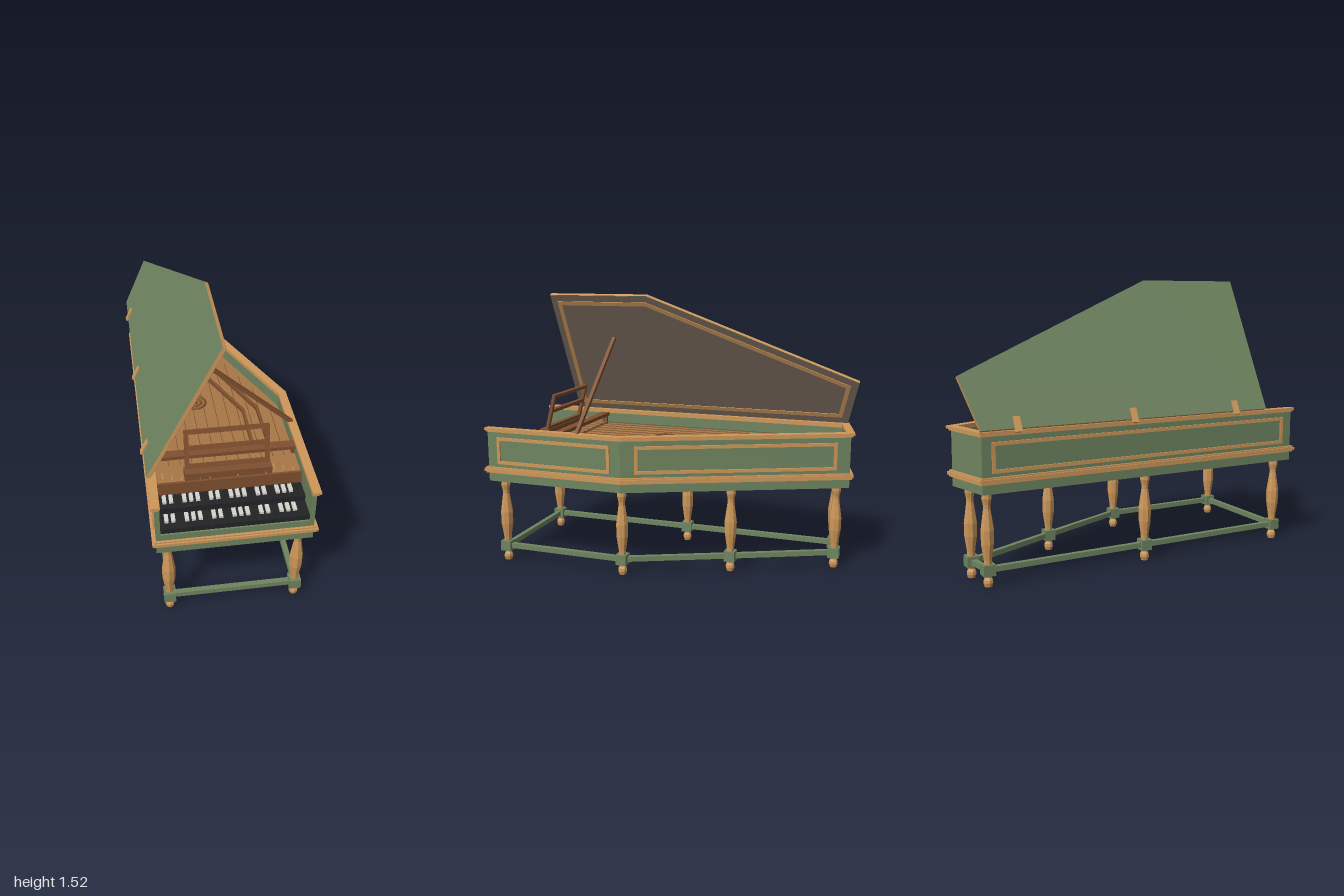
import * as THREE from 'three';

const mat = (name, color) => {
  const m = new THREE.MeshStandardMaterial({ color });
  m.name = name;
  return m;
};

export function createModel() {
  const green = mat('green paint', 0x6f8560);
  const wood = mat('light wood', 0xcf985a);
  const board = mat('soundboard wood', 0xa97848);
  const brown = mat('dark wood', 0x80502f);
  const black = mat('black keys', 0x222326);
  const ivory = mat('pale sharps', 0xd6d4cd);
  const taupe = mat('lid lining', 0x7d6d60);

  const model = new THREE.Group();
  model.name = 'harpsichord';

  const add = (name, geo, material, parent = model) => {
    const m = new THREE.Mesh(geo, material);
    m.name = name;
    parent.add(m);
    return m;
  };
  // box given by its extents
  const box = (name, material, x0, x1, y0, y1, z0, z1, parent = model) => {
    const m = add(name, new THREE.BoxGeometry(x1 - x0, y1 - y0, z1 - z0), material, parent);
    m.position.set((x0 + x1) / 2, (y0 + y1) / 2, (z0 + z1) / 2);
    return m;
  };
  // square bar between two points
  const beam = (name, material, a, b, w, h) => {
    const p = new THREE.Vector3(...a), q = new THREE.Vector3(...b);
    const m = add(name, new THREE.BoxGeometry(w, h, p.distanceTo(q)), material);
    m.position.copy(p).lerp(q, 0.5);
    m.lookAt(q);
    return m;
  };
  // horizontal slab from a plan of [x, z] points
  const plan = pts => pts.map(([x, z]) => new THREE.Vector2(x, -z));
  const slab = (pts, y0, y1, hole) => {
    const shape = new THREE.Shape(plan(pts));
    if (hole) shape.holes.push(new THREE.Path(plan(hole)));
    return new THREE.ExtrudeGeometry(shape, { depth: y1 - y0, bevelEnabled: false })
      .rotateX(-Math.PI / 2).translate(0, y0, 0);
  };
  // grow (or shrink) a convex plan
  const offset = (pts, d) => pts.map((p, i) => {
    const n = pts.length, a = pts[(i + n - 1) % n], b = pts[(i + 1) % n];
    const normal = (s, e) => {
      const l = Math.hypot(e[0] - s[0], e[1] - s[1]);
      return [-(e[1] - s[1]) / l, (e[0] - s[0]) / l];
    };
    const u = normal(a, p), v = normal(p, b);
    const k = d / (1 + u[0] * v[0] + u[1] * v[1]);
    return [p[0] + k * (u[0] + v[0]), p[1] + k * (u[1] + v[1])];
  });
  const frontAt = (pts, z) => pts.map((p, i) => (i < 2 ? [p[0], z] : p));

  // Case: solid base, walls open at the front, mouldings
  const outline = [[-0.39, 0.98], [0.39, 0.98], [0.39, 0.175], [-0.12, -0.975], [-0.39, -0.91]];
  const openRing = (outer, inner, z) => {
    const o = frontAt(offset(outline, outer), z), i = frontAt(offset(outline, inner), z);
    return [o[1], o[2], o[3], o[4], o[0], i[0], i[4], i[3], i[2], i[1]];
  };
  add('caseBase', slab(outline, 0.48, 0.6), green);
  add('caseWalls', slab(openRing(0, -0.022, 0.98), 0.6, 0.772), green);
  add('lowerMoulding', slab(offset(outline, 0.02), 0.54, 0.556), wood);
  add('lowerMouldingStep', slab(offset(outline, 0.012), 0.53, 0.564), wood);
  add('rim', slab(openRing(0.02, -0.025, 0.99), 0.776, 0.79), wood);
  add('rimStep', slab(openRing(0.01, -0.023, 0.985), 0.766, 0.776), wood);

  // Framed panels on the sides
  const panelFrame = (name, a, b) => {
    const w = Math.hypot(b[0] - a[0], b[1] - a[1]) / 2, h = 0.077, t = 0.018;
    const rect = (x, y) => [[-x, -y], [x, -y], [x, y], [-x, y]].map(p => new THREE.Vector2(...p));
    const s = new THREE.Shape(rect(w, h));
    s.holes.push(new THREE.Path(rect(w - t, h - t)));
    const m = add(name, new THREE.ExtrudeGeometry(s, { depth: 0.008, bevelEnabled: false }), wood);
    m.position.set((a[0] + b[0]) / 2, 0.66, (a[1] + b[1]) / 2);
    m.rotation.y = Math.atan2(a[1] - b[1], b[0] - a[0]);
  };
  const along = t => [0.39 - 0.51 * t, 0.175 - 1.15 * t];
  panelFrame('cheekFrame', [0.39, 0.92], [0.39, 0.235]);
  panelFrame('bentSideFrame', along(0.06), along(0.94));
  panelFrame('spineFrame', [-0.39, -0.86], [-0.39, 0.92]);

  // Soundboard, bridges, rose and strings
  add('soundboard', slab(frontAt(offset(outline, -0.021), 0.58), 0.6, 0.7), board);
  const bridges = [
    [[-0.155, -0.69], [0.245, 0.2], [0.25, 0.55]],
    [[-0.115, -0.4], [0.165, 0.21], [0.165, 0.52]],
  ];
  for (const pts of bridges)
    for (let i = 0; i < 2; i++)
      beam('bridge', brown, [pts[i][0], 0.71, pts[i][1]], [pts[i + 1][0], 0.71, pts[i + 1][1]], 0.016, 0.022);
  for (const r of [0.06, 0.035, 0.012]) {
    const ring = add('rose', new THREE.TorusGeometry(r, 0.007, 6, 20), brown);
    ring.rotation.x = Math.PI / 2;
    ring.position.set(-0.09, 0.702, 0.09);
  }
  for (let i = 0; i < 11; i++) {
    const x = -0.29 + i * 0.06;
    const end = Math.max(-0.85, 0.175 - (0.37 - x) * 2.255 + 0.13);
    box('string', brown, x - 0.0015, x + 0.0015, 0.722, 0.725, end, 0.62);
  }

  // Pin block, jack rail and nameboard
  box('pinBlock', board, -0.367, 0.367, 0.6, 0.715, 0.575, 0.765);
  box('jackRail', brown, -0.367, 0.367, 0.75, 0.77, 0.565, 0.615);
  for (const s of [-1, 1])
    box('jackRailPost', brown, s * 0.358 - 0.009, s * 0.358 + 0.009, 0.7, 0.75, 0.575, 0.605);
  box('nameboard', brown, -0.367, 0.367, 0.6, 0.735, 0.76, 0.772);
  for (let i = 0; i < 15; i++) {
    const x = -0.33 + i * 0.047;
    box('tuningPin', wood, x - 0.002, x + 0.002, 0.715, 0.735, 0.69 + (i % 3) * 0.02, 0.735 + (i % 3) * 0.01);
  }

  // Two manuals, three octaves and one key each
  const pitch = 0.0333, x0 = -0.366;
  for (const [y, z0, z1] of [[0.635, 0.872, 0.977], [0.665, 0.772, 0.872]]) {
    box('keybed', black, x0, -x0, 0.6, y - 0.008, z0, z1 - 0.006);
    for (let k = 0; k < 22; k++) {
      const x = x0 + k * pitch;
      box('naturalKey', black, x + 0.001, x + pitch - 0.001, y - 0.02, y, z0, z1);
      if (k < 21 && ![2, 6].includes(k % 7))
        box('sharpKey', ivory, x + pitch - 0.01, x + pitch + 0.01, y, y + 0.013, z0 + 0.015, z0 + 0.066);
    }
  }

  // Music desk
  box('deskBase', brown, -0.22, 0.22, 0.715, 0.762, 0.685, 0.745);
  const desk = new THREE.Group();
  desk.name = 'musicDesk';
  desk.position.set(0, 0.762, 0.7);
  desk.rotation.x = -0.245;
  model.add(desk);
  for (const s of [-1, 1])
    box('deskPost', brown, s * 0.203 - 0.011, s * 0.203 + 0.011, 0, 0.208, -0.009, 0.009, desk);
  for (const y of [0.01, 0.11, 0.198])
    box('deskBar', brown, -0.212, 0.212, y - 0.01, y + 0.01, -0.009, 0.009, desk);

  // Raised lid, hinged on the spine
  const lid = new THREE.Group();
  lid.name = 'lid';
  lid.position.set(-0.395, 0.79, 0);
  lid.rotation.z = THREE.MathUtils.degToRad(63);
  model.add(lid);
  const lidPlan = [[0, 0.78], [0.81, 0.78], [0.81, 0.18], [0.285, -0.99], [0, -0.92]];
  add('lidPanel', slab(lidPlan, 0, 0.02), [green, wood], lid);
  add('lidLining', slab(offset(lidPlan, -0.002), -0.002, 0.001), taupe, lid);
  add('lidBorder', slab(offset(lidPlan, -0.04), -0.006, 0, offset(lidPlan, -0.064)), wood, lid);
  for (const z of [-0.73, -0.08, 0.57])
    box('hinge', wood, -0.02, 0.06, 0.014, 0.027, z - 0.018, z + 0.018, lid);
  beam('lidProp', brown, [0.385, 0.785, 0.43], [-0.15, 1.26, 0.43], 0.02, 0.02);

  // Turned legs, ball feet and stretchers around the stand
  const lathe = pts => new THREE.LatheGeometry(pts.map(p => new THREE.Vector2(...p)), 8).toNonIndexed();
  const legGeo = lathe([[0.02, 0.11], [0.022, 0.14], [0.034, 0.22], [0.035, 0.29], [0.019, 0.4],
    [0.02, 0.42], [0.027, 0.45], [0.025, 0.482]]);
  const footGeo = lathe([[0, 0], [0.02, 0], [0.026, 0.02], [0.024, 0.035], [0.016, 0.048], [0.018, 0.062]]);
  legGeo.computeVertexNormals();
  footGeo.computeVertexNormals();
  const legs = [[-0.33, 0.91], [0.335, 0.91], [0.335, 0.19], [0.088, -0.36],
    [-0.16, -0.9], [-0.33, -0.87], [-0.33, 0.03]];
  legs.forEach(([x, z], i) => {
    add('leg', legGeo, wood).position.set(x, 0, z);
    add('foot', footGeo, wood).position.set(x, 0, z);
    box('legBlock', green, x - 0.031, x + 0.031, 0.058, 0.116, z - 0.031, z + 0.031);
    const [nx, nz] = legs[(i + 1) % legs.length];
    beam('stretcher', green, [x, 0.087, z], [nx, 0.087, nz], 0.028, 0.028);
  });

  return model;
}
